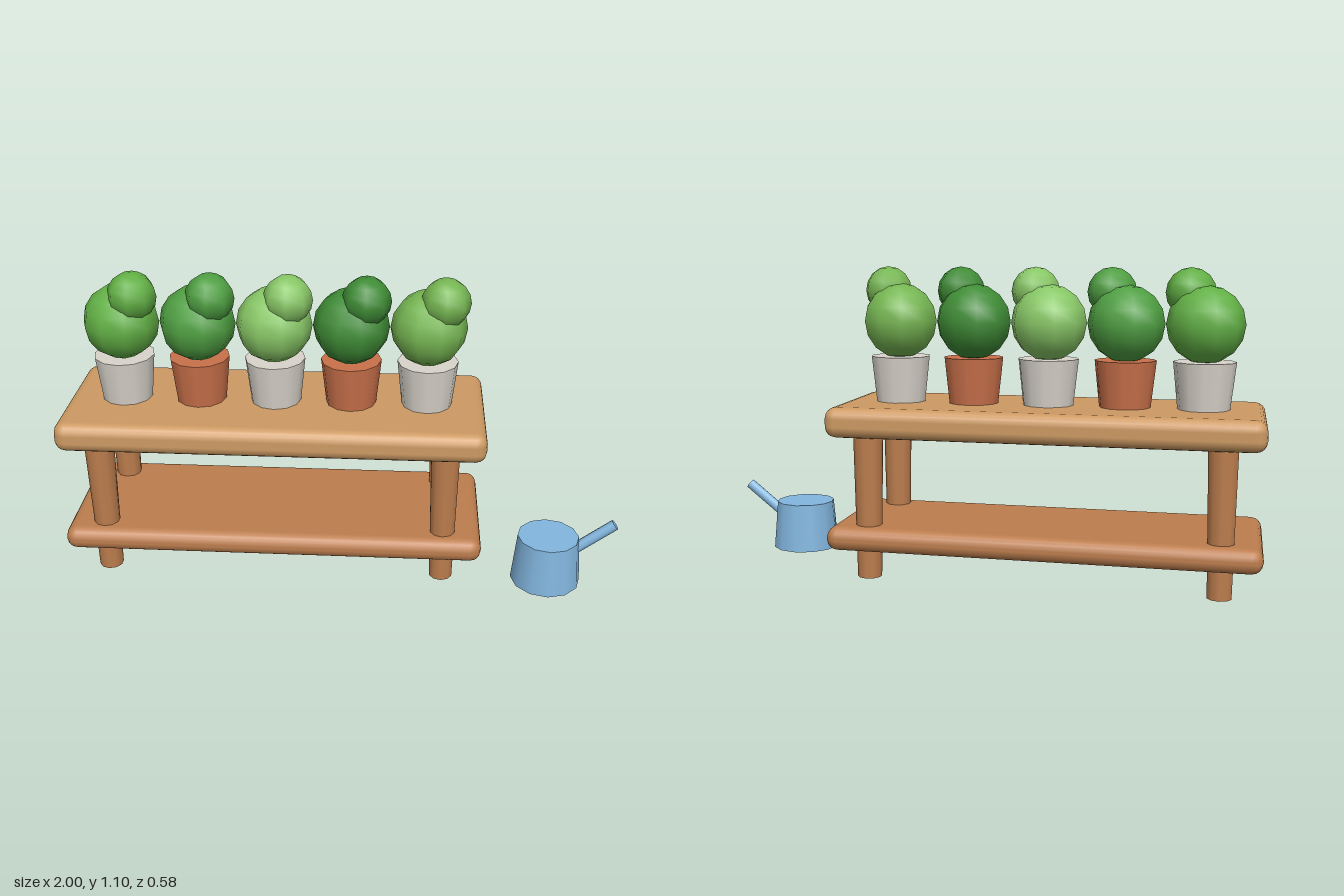
import * as THREE from 'three';
import { RoundedBoxGeometry } from 'three/addons/geometries/RoundedBoxGeometry.js';

export function createModel() {
  const root = new THREE.Group();
  root.name = 'plantBench';

  const paint = (color) => new THREE.MeshStandardMaterial({ color });
  const add = (parent, name, geometry, material, x, y, z) => {
    const mesh = new THREE.Mesh(geometry, material);
    mesh.name = name;
    mesh.position.set(x, y, z);
    parent.add(mesh);
    return mesh;
  };

  // Bench: two rounded boards on four tapered legs
  const bench = new THREE.Group();
  bench.name = 'bench';
  bench.position.set(-0.245, 0, -0.018);
  root.add(bench);
  const lightWood = paint(0xcd9a63);
  const darkWood = paint(0xbd7e4e);
  add(bench, 'topBoard', new RoundedBoxGeometry(1.51, 0.108, 0.54, 2, 0.04), lightWood, 0, 0.561, 0);
  add(bench, 'lowerShelf', new RoundedBoxGeometry(1.51, 0.087, 0.54, 2, 0.04), darkWood, 0, 0.146, 0);
  const legGeometry = new THREE.CylinderGeometry(0.053, 0.043, 0.54, 10);
  for (const sx of [-1, 1]) {
    for (const sz of [-1, 1]) {
      add(bench, 'leg', legGeometry, darkWood, sx * 0.615, 0.27, sz * 0.18);
    }
  }

  // Row of potted bushes, pots alternating pale and terracotta
  const potGeometry = new THREE.CylinderGeometry(0.108, 0.09, 0.165, 12);
  const bushGeometry = new THREE.SphereGeometry(0.135, 10, 8);
  const tuftGeometry = new THREE.SphereGeometry(0.087, 8, 8);
  const potColors = [paint(0xd9d4cb), paint(0xc9704a)];
  [0x62b045, 0x4f9f42, 0x88c766, 0x3f8c36, 0x76b652].forEach((color, i) => {
    const plant = new THREE.Group();
    plant.name = 'pottedPlant';
    plant.position.set(-0.786 + i * 0.2715, 0.614, -0.018);
    root.add(plant);
    const leaf = paint(color);
    add(plant, 'pot', potGeometry, potColors[i % 2], 0, 0.0825, 0);
    add(plant, 'bush', bushGeometry, leaf, 0, 0.292, 0);
    add(plant, 'tuft', tuftGeometry, leaf, 0.054, 0.399, 0.036);
  });

  // Watering can standing beside the bench
  const can = new THREE.Group();
  can.name = 'wateringCan';
  can.position.set(0.753, 0, 0.163);
  root.add(can);
  const blue = paint(0x82b6de);
  add(can, 'canBody', new THREE.CylinderGeometry(0.11, 0.126, 0.181, 12), blue, 0, 0.0905, 0);

  // Spout runs from inside the body to its raised tip
  const start = new THREE.Vector3(0.077, 0.113, 0);
  const tip = new THREE.Vector3(0.233, 0.237, 0);
  const axis = tip.clone().sub(start);
  const middle = start.clone().lerp(tip, 0.5);
  const spout = add(can, 'spout', new THREE.CylinderGeometry(0.02, 0.02, axis.length(), 8),
    blue, middle.x, middle.y, middle.z);
  spout.quaternion.setFromUnitVectors(new THREE.Vector3(0, 1, 0), axis.normalize());

  return root;
}
